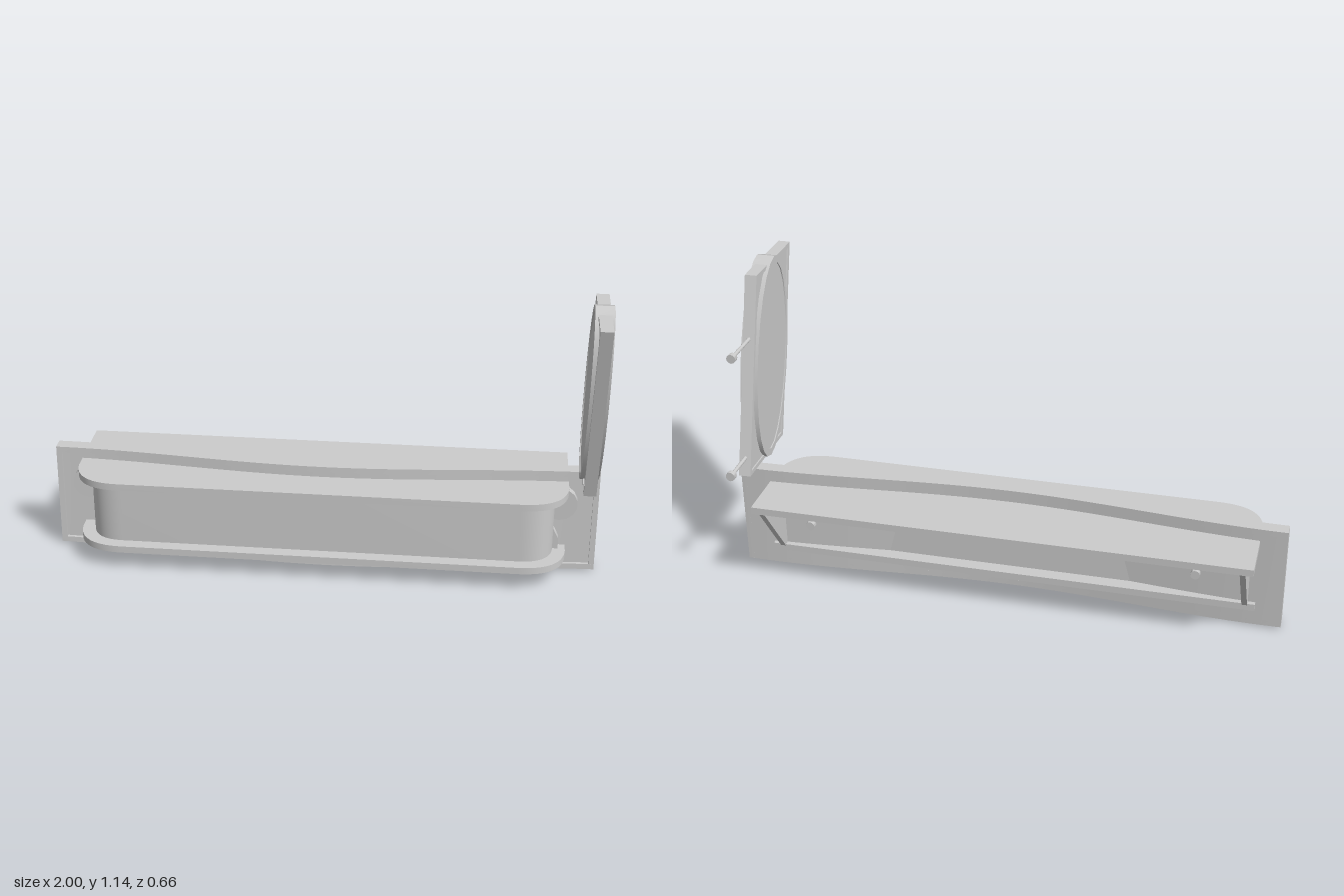
import * as THREE from 'three';
import { toCreasedNormals } from 'three/addons/utils/BufferGeometryUtils.js';

const material = new THREE.MeshStandardMaterial({ color: 0xcccccc, side: THREE.DoubleSide });

function add(group, name, geometry, x = 0, y = 0, z = 0) {
  const mesh = new THREE.Mesh(toCreasedNormals(geometry, 0.6), material);
  mesh.name = name;
  mesh.position.set(x, y, z);
  group.add(mesh);
  return mesh;
}

// Front surface of the bowed panel at a given x and y
const panelZ = (x, y) => -0.012 - 0.03 * (1 - Math.cos(Math.PI * x)) - 0.025 * (y - 0.2);

// Box bent along the bow of the panel, its front face lying 'inset' behind the bow
function bentBox(x0, x1, y0, y1, depth, inset) {
  const g = new THREE.BoxGeometry(x1 - x0, y1 - y0, depth, 32, 1, 1);
  g.translate((x0 + x1) / 2, (y0 + y1) / 2, -depth / 2 - inset);
  const p = g.attributes.position;
  for (let i = 0; i < p.count; i++) {
    const x = p.getX(i), y = p.getY(i);
    p.setZ(i, p.getZ(i) + panelZ(x, y));
    // the lower and upper edges swell slightly at the middle
    p.setY(i, y < 0.1 ? y - 0.008 * (1 - x * x) : y);
  }
  return g;
}

// Flat outline in (x, z) with rounded front corners, extruded upward
function trayGeometry(halfWidth, back, front, radius, height) {
  const s = new THREE.Shape();
  s.moveTo(-halfWidth, -back);
  s.lineTo(halfWidth, -back);
  s.lineTo(halfWidth, -(front - radius));
  s.quadraticCurveTo(halfWidth - 0.012, -front, halfWidth - radius * 1.25, -front);
  s.lineTo(-halfWidth + radius * 1.25, -front);
  s.quadraticCurveTo(-halfWidth + 0.012, -front, -halfWidth, -(front - radius));
  s.closePath();
  return new THREE.ExtrudeGeometry(s, { depth: height, bevelEnabled: false, curveSegments: 14 })
    .rotateX(-Math.PI / 2);
}

// Outline in (z, y) extruded along x and centred on x = 0
function sideExtrude(points, thickness, hole) {
  const s = new THREE.Shape(points);
  if (hole) s.holes.push(new THREE.Path(hole));
  return new THREE.ExtrudeGeometry(s, { depth: thickness, bevelEnabled: false })
    .translate(0, 0, -thickness / 2).rotateY(-Math.PI / 2);
}

// Rod with a wider head, pointing backward
function fixingRod(group, x, y, zStart, zEnd) {
  const rod = new THREE.Group();
  rod.name = 'fixingRod';
  const shaft = zStart - zEnd;
  add(rod, 'shaft', new THREE.CylinderGeometry(0.007, 0.007, shaft, 12).rotateX(Math.PI / 2),
    x, y, (zStart + zEnd) / 2);
  add(rod, 'head', new THREE.CylinderGeometry(0.017, 0.017, 0.02, 12).rotateX(Math.PI / 2),
    x, y, zEnd + 0.01);
  group.add(rod);
}

function leaningEllipse(scale) {
  const pts = [];
  for (let i = 0; i < 24; i++) {
    const t = (i / 24) * Math.PI * 2;
    pts.push(new THREE.Vector2(
      0.06 + scale * (0.153 * Math.cos(t) + 0.085 * Math.sin(t)),
      0.775 + scale * 0.362 * Math.sin(t)));
  }
  return pts;
}

// Parallelogram of the hanging plate, drawn in by a margin
function leaningPlate(m) {
  const slope = 0.2 / 0.7;
  const corner = (z, y, side) =>
    new THREE.Vector2(z + side * m * 1.04 + slope * (y - 0.418), y);
  const lo = 0.418 + m, hi = 1.12 - m;
  return [corner(0.13, lo, -1), corner(0.13, hi, -1), corner(-0.207, hi, 1), corner(-0.207, lo, 1)];
}

export function createModel() {
  const model = new THREE.Group();

  // Bowed back panel with a raised border
  const panel = new THREE.Group();
  panel.name = 'backPanel';
  add(panel, 'panelFace', bentBox(-0.995, 0.995, 0.015, 0.4, 0.038, 0.012));
  add(panel, 'lowerBorder', bentBox(-1, 1, 0.009, 0.03, 0.05, 0));
  add(panel, 'upperBorder', bentBox(-1, 1, 0.384, 0.405, 0.05, 0));
  for (const s of [-1, 1]) {
    add(panel, 'endBorder', bentBox(s * 0.99 - 0.01, s * 0.99 + 0.01, 0.009, 0.405, 0.05, 0));
  }
  model.add(panel);

  // Rounded relief discs on the panel, mostly behind the tray
  const discs = [[-0.88, 0.27, 0.06], [-0.5, 0.1, 0.075], [-0.02, 0.1, 0.075], [0.18, 0.1, 0.065],
    [0.4, 0.1, 0.07], [0.58, 0.1, 0.07], [0.77, 0.12, 0.095], [0.86, 0.28, 0.065]];
  for (const [x, y, r] of discs) {
    add(model, 'reliefDisc', new THREE.CylinderGeometry(r, r, 0.03, 14).rotateX(Math.PI / 2),
      x, y, panelZ(x, y));
  }

  // Front body between two overhanging plates
  add(model, 'upperTray', trayGeometry(0.897, -0.32, 0.108, 0.14, 0.026), -0.008, 0.333, 0);
  add(model, 'lowerTray', trayGeometry(0.897, -0.135, 0.108, 0.14, 0.026), -0.008, 0.075, 0);
  add(model, 'frontBody', trayGeometry(0.85, -0.085, 0.062, 0.1, 0.24), -0.008, 0.097, 0);

  // Triangular rear brackets and rods
  const bracket = [[-0.09, 0.095], [-0.135, 0.095], [-0.318, 0.335], [-0.09, 0.335]]
    .map(([z, y]) => new THREE.Vector2(z, y));
  for (const s of [-1, 1]) {
    add(model, 'rearBracket', sideExtrude(bracket, 0.02), s * 0.86 - 0.008, 0, 0);
    fixingRod(model, s * 0.7, 0.26, -0.06, -0.24);
  }

  // Upright side sign: leaning plate with a raised border and an oval disc
  const sign = new THREE.Group();
  sign.name = 'sideSign';
  add(sign, 'signPlate', sideExtrude(leaningPlate(0.008), 0.034));
  add(sign, 'signBorder', sideExtrude(leaningPlate(0), 0.044, leaningPlate(0.015)));
  add(sign, 'ovalDisc', sideExtrude(leaningEllipse(0.96), 0.058));
  add(sign, 'ovalRim', sideExtrude(leaningEllipse(1), 0.066, leaningEllipse(0.93)));
  fixingRod(sign, 0, 0.9, -0.04, -0.24);
  fixingRod(sign, 0, 0.482, -0.17, -0.332);
  sign.position.x = 0.952;
  model.add(sign);

  return model;
}
